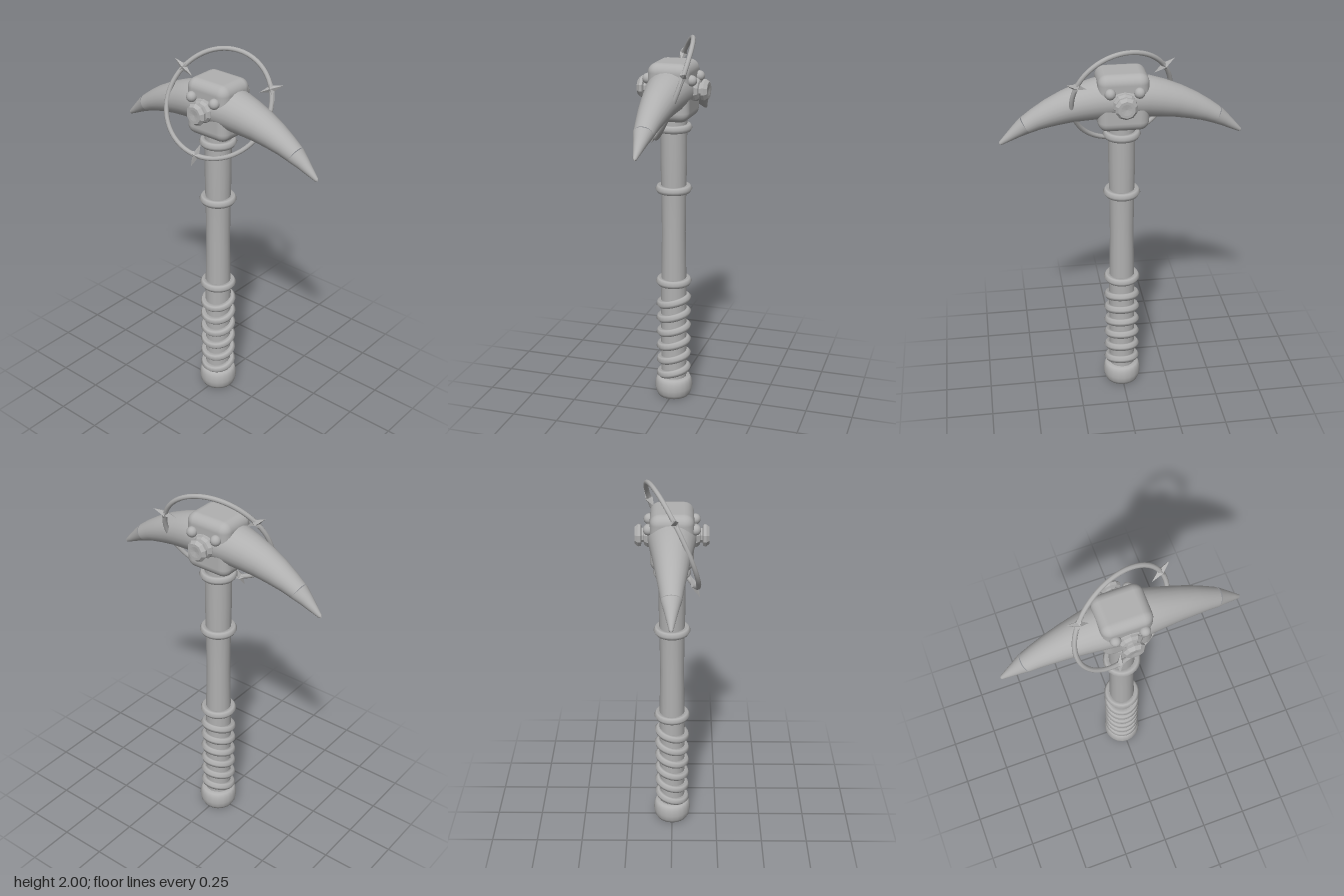
import * as THREE from 'three';
import { RoundedBoxGeometry } from 'three/addons/geometries/RoundedBoxGeometry.js';

const HEAD_Y = 1.727;

// Skin of elliptical sections; station = [x, y, half height, half depth]
function loft(stations, sides = 24) {
  const pos = [], idx = [];
  stations.forEach(([x, y, h, d], i) => {
    const p = stations[Math.max(i - 1, 0)], q = stations[Math.min(i + 1, stations.length - 1)];
    const len = Math.hypot(q[0] - p[0], q[1] - p[1]);
    const tx = (q[0] - p[0]) / len, ty = (q[1] - p[1]) / len;
    for (let k = 0; k < sides; k++) {
      const a = (k / sides) * Math.PI * 2, c = Math.cos(a) * h;
      pos.push(x - ty * c, y + tx * c, Math.sin(a) * d);
      if (i < stations.length - 1) {
        const A = i * sides + k, B = i * sides + (k + 1) % sides;
        idx.push(A, B, A + sides, B, B + sides, A + sides);
      }
    }
  });
  const g = new THREE.BufferGeometry();
  g.setAttribute('position', new THREE.Float32BufferAttribute(pos, 3));
  g.setIndex(idx);
  g.computeVertexNormals();
  return g;
}

// Four-pointed star with a raised centre on both faces
function starGeometry() {
  const pos = [], at = (k) => {
    const a = (k * Math.PI) / 4, r = k % 2 ? 0.02 : 0.064;
    return [Math.cos(a) * r, Math.sin(a) * r, 0];
  };
  for (let k = 0; k < 8; k++) {
    pos.push(...at(k), ...at(k + 1), 0, 0, 0.02);
    pos.push(...at(k + 1), ...at(k), 0, 0, -0.02);
  }
  const g = new THREE.BufferGeometry();
  g.setAttribute('position', new THREE.Float32BufferAttribute(pos, 3));
  g.computeVertexNormals();
  return g;
}

const lathe = (pts, n) => new THREE.LatheGeometry(pts.map(([r, y]) => new THREE.Vector2(r, y)), n);

export function createModel() {
  const model = new THREE.Group();
  model.name = 'pickaxe';
  const grey = new THREE.MeshStandardMaterial({ color: 0xb0b0b0 });
  grey.name = 'plain grey';
  const facetGrey = grey;
  const add = (name, geo, parent = model) => {
    const m = new THREE.Mesh(geo, facetGrey);
    m.name = name;
    parent.add(m);
    return m;
  };

  // Handle with a slight waist, and rounded pommel
  add('handle', lathe([[0.07, 0.08], [0.07, 0.6], [0.064, 0.95], [0.066, 1.15], [0.07, 1.35], [0.07, 1.65]], 16));
  add('pommel', lathe([[0, 0], [0.088, 0], [0.098, 0.02], [0.104, 0.05], [0.1, 0.085], [0.09, 0.108], [0.06, 0.112], [0, 0.112]], 20));

  // Level bands and tilted grip wraps
  const band = new THREE.TorusGeometry(0.076, 0.022, 6, 24);
  for (const y of [0.675, 1.195, 1.525]) {
    const m = add('handleBand', band);
    m.position.y = y;
    m.rotation.x = Math.PI / 2;
  }
  for (let i = 0; i < 6; i++) {
    const m = add('gripWrap', band);
    m.position.y = 0.145 + i * 0.083;
    m.rotation.x = Math.PI / 2 + 0.25;
  }

  // Head block
  add('headBlock', new RoundedBoxGeometry(0.26, 0.3, 0.22, 3, 0.05)).position.y = 1.72;

  // Curved blade, mirrored about the block
  const half = [[0.06, 1.73, 0.108, 0.122], [0.13, 1.722, 0.104, 0.112], [0.2, 1.708, 0.096, 0.1],
    [0.28, 1.688, 0.084, 0.087], [0.36, 1.66, 0.071, 0.074], [0.43, 1.63, 0.057, 0.061], [0.487, 1.6, 0.046, 0.051]];
  const left = half.map(([x, ...r]) => [-x, ...r]).reverse();
  add('blade', loft([...left, [0, 1.732, 0.109, 0.13], ...half]));
  const tip = [[0.487, 1.6, 0.047, 0.052], [0.53, 1.571, 0.035, 0.037], [0.58, 1.534, 0.021, 0.021],
    [0.615, 1.508, 0.011, 0.01], [0.623, 1.502, 0, 0]];
  add('leftTip', loft(tip));
  add('rightTip', loft(tip.map(([x, ...r]) => [-x, ...r]).reverse()));

  // Knob and two studs on the front and back
  const knob = lathe([[0.06, 0.09], [0.06, 0.125], [0.05, 0.138], [0.037, 0.142], [0.037, 0.152],
    [0.055, 0.156], [0.058, 0.17], [0.044, 0.187], [0.03, 0.187], [0, 0.183]], 10).toNonIndexed();
  knob.computeVertexNormals();
  const stud = new THREE.SphereGeometry(0.028, 14, 10);
  for (const s of [1, -1]) {
    const side = new THREE.Group();
    side.name = s > 0 ? 'frontFittings' : 'backFittings';
    side.position.y = HEAD_Y;
    side.rotation.y = s > 0 ? 0 : Math.PI;
    model.add(side);
    add('knob', knob, side).rotation.x = Math.PI / 2;
    for (const x of [-0.073, 0.073]) add('stud', stud, side).position.set(x, 0.058, 0.116);
  }

  // Slanted orbit ring carrying three stars
  const orbit = new THREE.Group();
  orbit.name = 'orbitRing';
  orbit.position.y = HEAD_Y;
  model.add(orbit);
  const onRing = (a) => {
    const x = 0.261 * Math.cos(a), y = 0.261 * Math.sin(a);
    return new THREE.Vector3(x, y, -0.33 * x - 0.39 * y);
  };
  const pts = Array.from({ length: 32 }, (_, i) => onRing((i / 32) * Math.PI * 2));
  add('ring', new THREE.TubeGeometry(new THREE.CatmullRomCurve3(pts, true), 64, 0.0125, 8, true), orbit);
  const normal = new THREE.Vector3(0.33, 0.39, 1).normalize();
  const star = starGeometry();
  for (const deg of [24, 146, 259]) {
    const p = onRing(THREE.MathUtils.degToRad(deg));
    const radial = p.clone().normalize();
    const m = add('star', star, orbit);
    m.quaternion.setFromRotationMatrix(
      new THREE.Matrix4().makeBasis(radial, normal.clone().cross(radial), normal));
    m.position.copy(p);
  }
  return model;
}
